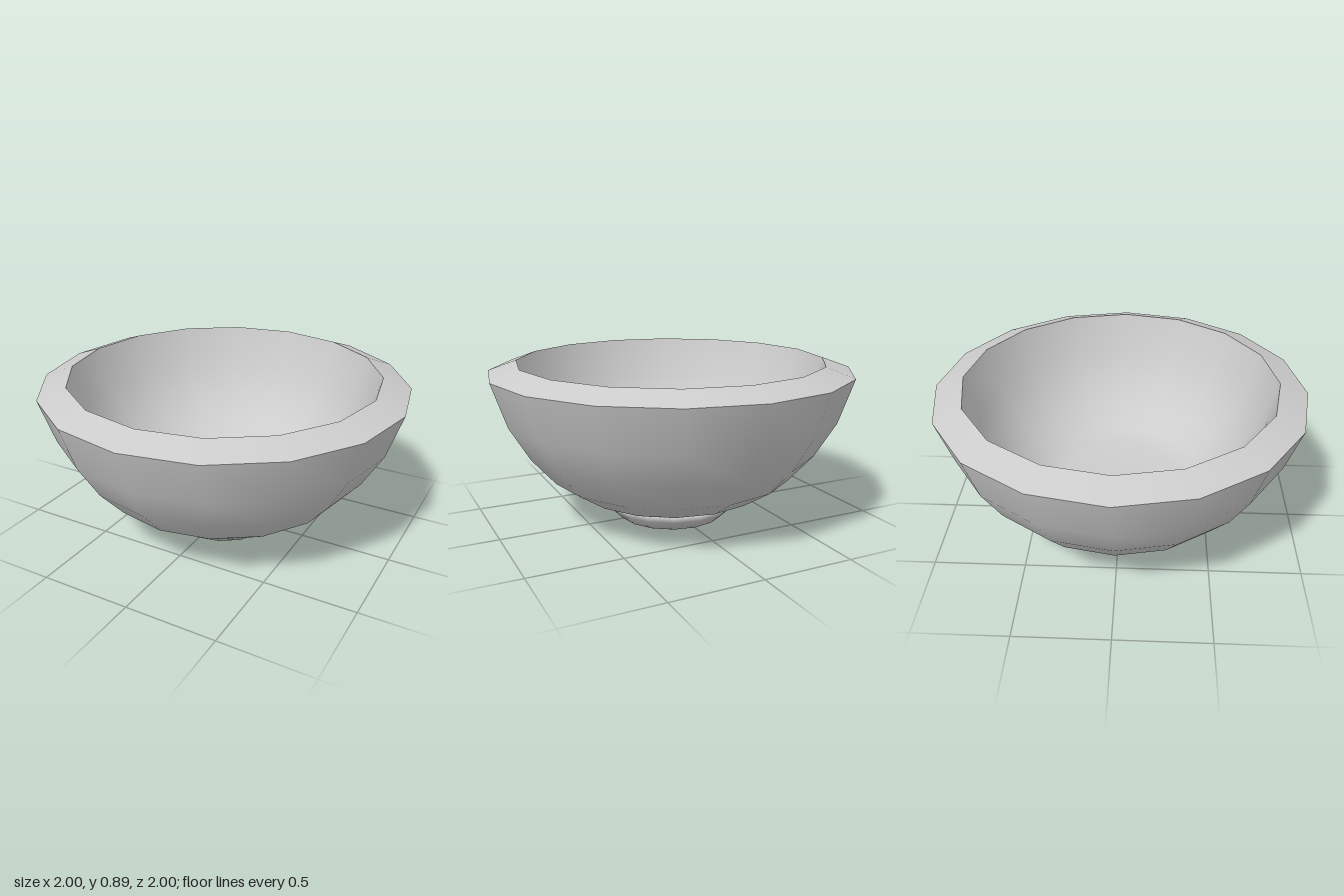
import * as THREE from 'three';

const SIDES = 16;

// Turn a [radius, height] profile around y; smooth normals run along it.
function turned(name, profile, material) {
  const points = profile.map(([r, y]) => new THREE.Vector2(r, y));
  const mesh = new THREE.Mesh(new THREE.LatheGeometry(points, SIDES), material);
  mesh.name = name;
  return mesh;
}

export function createModel() {
  const model = new THREE.Group();
  model.name = 'bowl';
  const clay = new THREE.MeshStandardMaterial({ color: 0xcccccc });
  clay.name = 'light grey clay';

  // Foot: a small bevelled disc under the bowl
  model.add(turned('foot', [[0, 0.005], [0.3, 0.005], [0.36, 0.065], [0.37, 0.1], [0, 0.1]], clay));

  // Outer wall
  model.add(turned('outerWall', [
    [0.37, 0.1], [0.52, 0.16], [0.68, 0.265], [0.81, 0.415], [0.92, 0.6], [1, 0.84],
  ], clay));

  // Rim: one sloping band with hard edges
  model.add(turned('rim', [[1, 0.84], [0.847, 0.895]], clay));

  // Inner wall and floor, an even thickness inside the outer wall
  model.add(turned('innerWall', [
    [0.847, 0.895], [0.775, 0.667], [0.68, 0.513], [0.574, 0.385], [0.448, 0.303], [0.332, 0.257], [0, 0.257],
  ], clay));

  return model;
}
